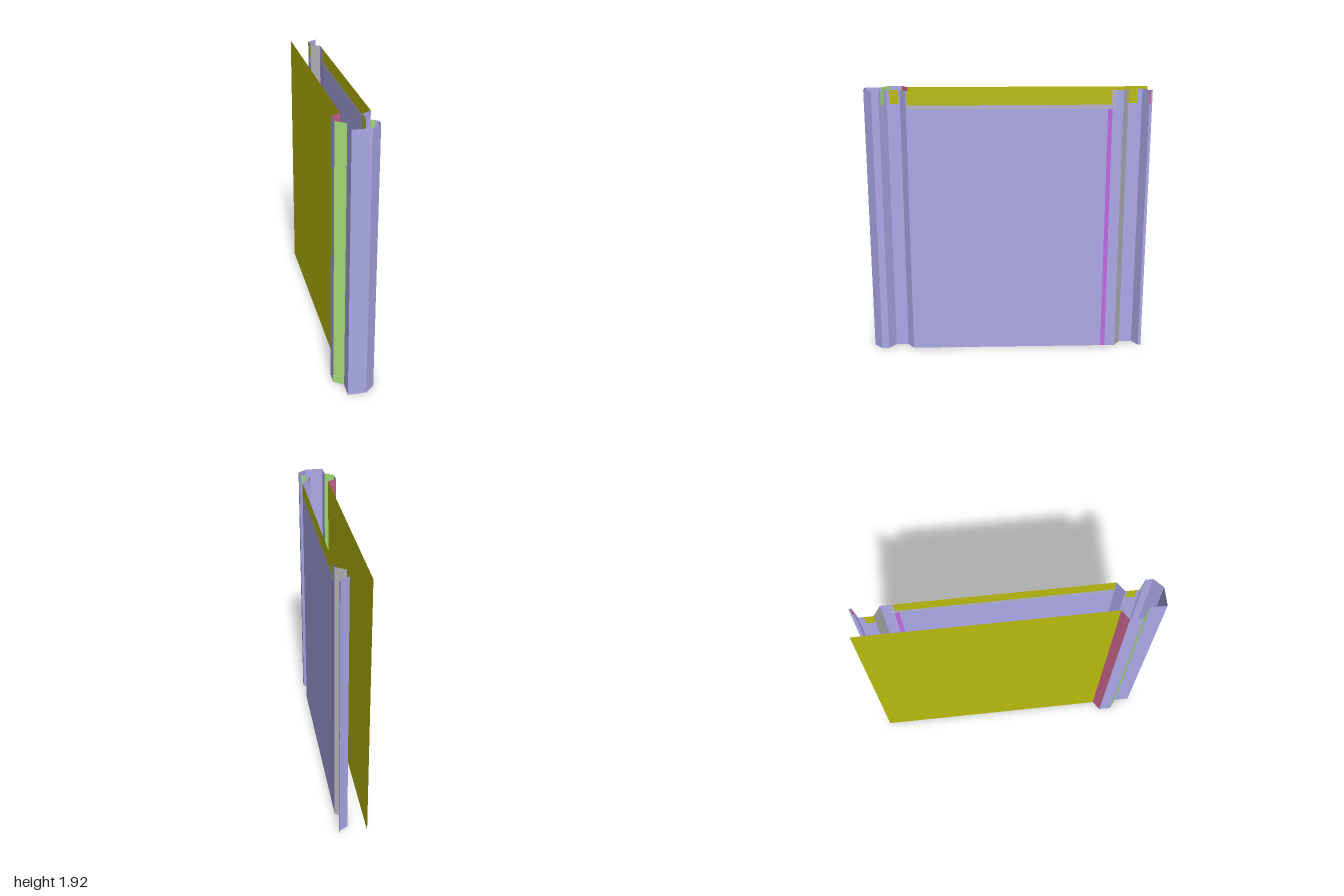
import * as THREE from 'three';

const H = 1.92; // panel height
const BAND = 1.82; // underside of the painted top band
const FADE = 1.79; // underside of the pale line below the band

function flat(name, color) {
  const m = new THREE.MeshStandardMaterial({ color, side: THREE.DoubleSide });
  m.name = name;
  return m;
}

// Upright folded sheet following [x, z] points; outside is on the right of travel
function sheet(points, y0, y1) {
  const pos = [];
  for (let i = 0; i < points.length - 1; i++) {
    const [ax, az] = points[i];
    const [bx, bz] = points[i + 1];
    pos.push(ax, y0, az, bx, y0, bz, bx, y1, bz);
    pos.push(ax, y0, az, bx, y1, bz, ax, y1, az);
  }
  const g = new THREE.BufferGeometry();
  g.setAttribute('position', new THREE.Float32BufferAttribute(pos, 3));
  g.computeVertexNormals();
  return g;
}

export function createModel() {
  const lilac = flat('lilac', 0xaaa8e6);
  const olive = flat('olive', 0xb8bb0c);
  const green = flat('green', 0xa8e077);
  const rose = flat('rose', 0xc8648b);
  const violet = flat('violet', 0xc068e0);
  const grey = flat('grey', 0xb2b2b8);
  const pale = flat('paleLilac', 0xb4b2cc);

  const model = new THREE.Group();
  model.name = 'foldedWallPanel';
  const add = (name, mat, points, y0 = 0, y1 = H) => {
    const mesh = new THREE.Mesh(sheet(points, y0, y1), mat);
    mesh.name = name;
    model.add(mesh);
  };

  const O = 0.13; // outer fold depth
  const I = 0.064; // inner fold depth

  // Outer sheet on the -x side, with its raised rib
  add('outerPanel', olive, [[-I, -1], [-I, 0.705]]);
  add('ribBackSlope', rose, [[-I, 0.705], [-O, 0.75]]);
  add('ribFace', lilac, [[-O, 0.75], [-O, 0.84]]);
  add('ribFrontSlope', green, [[-O, 0.84], [-I, 0.89]]);

  // Folded front tongue
  add('frontTongue', lilac, [[-I, 0.89], [-I, 1], [I, 1], [O, 0.94], [O, 0.89]]);
  add('tongueBackSlope', lilac, [[O, 0.89], [I, 0.84]], 0, BAND);
  add('tongueSlopeTop', lilac, [[O, 0.89], [0.113, 0.877]], BAND);
  add('tongueSlopeMark', green, [[0.113, 0.877], [0.088, 0.858]], BAND);
  add('tongueSlopeTop', lilac, [[0.088, 0.858], [I, 0.84]], BAND);

  // Front groove
  add('frontGroove', lilac, [[I, 0.84], [I, 0.75]], 0, BAND);
  add('frontGrooveTop', lilac, [[I, 0.84], [I, 0.825]], BAND);
  add('frontGrooveBand', olive, [[I, 0.825], [I, 0.76]], BAND);
  add('frontGrooveTop', lilac, [[I, 0.76], [I, 0.75]], BAND);
  add('frontGrooveSlope', lilac, [[I, 0.75], [O, 0.705]]);

  // Inner sheet on the +x side, with top band and upright stripe
  add('innerPanel', lilac, [[O, 0.705], [O, -0.695]], 0, FADE);
  add('innerPanelStripe', violet, [[O, -0.695], [O, -0.725]], 0, FADE);
  add('innerPanelEdge', lilac, [[O, -0.725], [O, -0.8]], 0, FADE);
  add('innerPanelPaleLine', pale, [[O, 0.705], [O, -0.75]], FADE, BAND);
  add('innerPanelBand', olive, [[O, 0.7], [O, -0.72]], BAND);
  add('innerPanelBandStart', lilac, [[O, 0.705], [O, 0.7]], BAND);
  add('innerPanelBandEnd', pale, [[O, -0.72], [O, -0.75]], BAND);
  add('innerPanelCorner', lilac, [[O, -0.75], [O, -0.8]], FADE);

  // Rear groove and lip
  add('rearGrooveSlope', grey, [[O, -0.8], [I, -0.845]]);
  add('rearGroove', lilac, [[I, -0.845], [I, -0.94]], 0, BAND);
  add('rearGrooveBand', olive, [[I, -0.845], [I, -0.905]], BAND);
  add('rearGrooveTop', lilac, [[I, -0.905], [I, -0.94]], BAND);
  add('rearLipSlope', lilac, [[I, -0.94], [O, -0.98]]);
  add('rearLip', lilac, [[O, -0.98], [O, -1]], 0, BAND);
  add('rearLipMark', rose, [[O, -0.98], [O, -0.99]], BAND);
  add('rearLipTop', lilac, [[O, -0.99], [O, -1]], BAND);

  return model;
}
